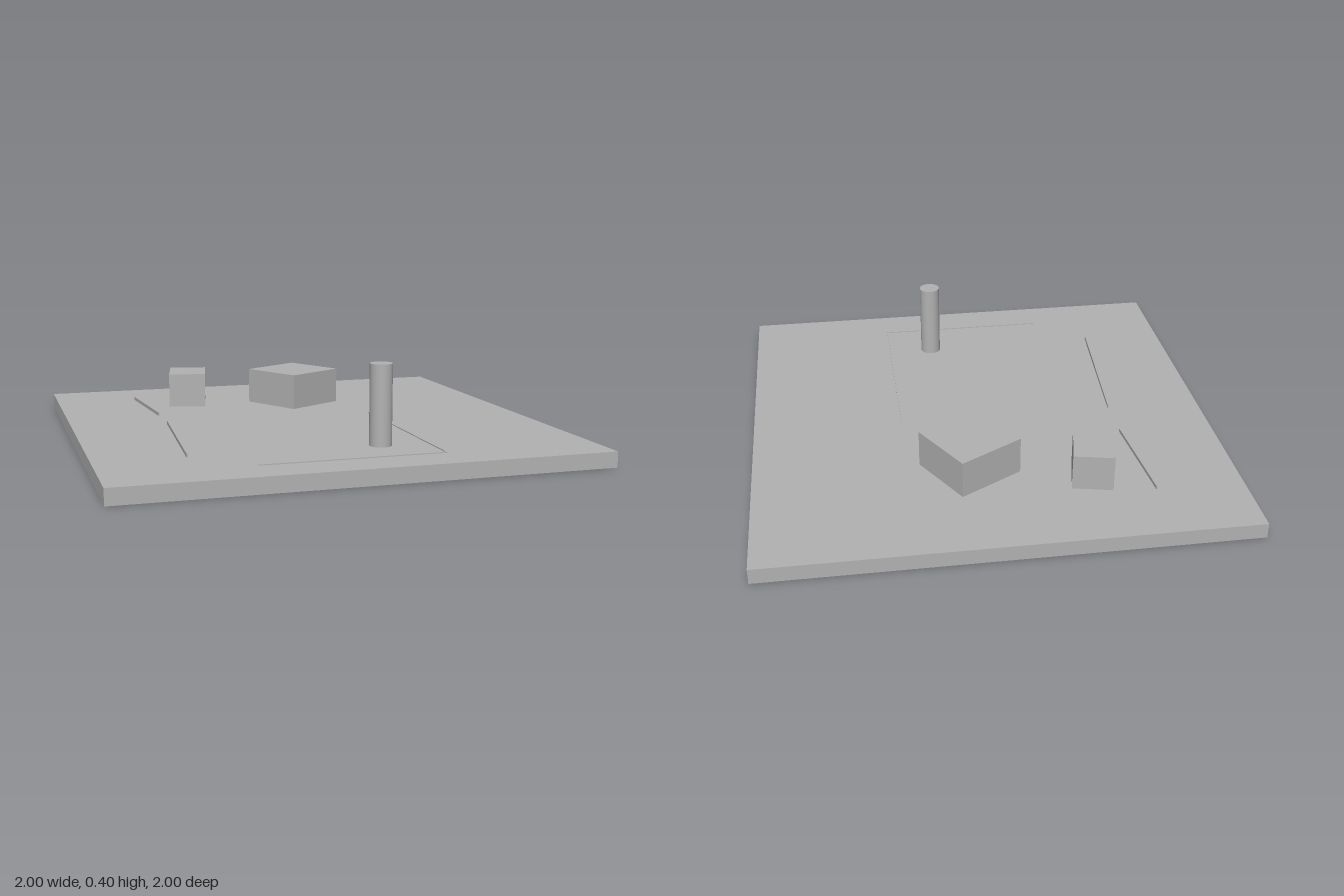
import * as THREE from 'three';

const TOP = 0.065; // upper face of the ground slab

export function createModel() {
  const model = new THREE.Group();
  const grey = new THREE.MeshStandardMaterial({ color: 0xb2b2b2 });
  grey.name = 'plain grey';

  function add(name, geometry, x, y, z, turn = 0) {
    const mesh = new THREE.Mesh(geometry, grey);
    mesh.name = name;
    mesh.position.set(x, y, z);
    mesh.rotation.y = turn;
    model.add(mesh);
  }

  // Block standing on the slab
  function block(name, w, h, d, x, z, degrees) {
    add(name, new THREE.BoxGeometry(w, h, d), x, TOP + h / 2, z, THREE.MathUtils.degToRad(degrees));
  }

  // Thin kerb running between two ground points
  function kerb(name, [x1, z1], [x2, z2], height, width) {
    const dx = x2 - x1, dz = z2 - z1;
    add(name, new THREE.BoxGeometry(Math.hypot(dx, dz), height, width),
      (x1 + x2) / 2, TOP + height / 2, (z1 + z2) / 2, Math.atan2(-dz, dx));
  }

  // Ground slab
  add('groundSlab', new THREE.BoxGeometry(2, TOP, 2), 0, TOP / 2, 0);

  // Two rotated buildings
  block('largeBuilding', 0.3, 0.16, 0.3, 0.1, -0.45, 30);
  block('smallBuilding', 0.169, 0.155, 0.225, -0.397, -0.565, -12);

  // Round tower
  const towerHeight = 0.333;
  add('tower', new THREE.CylinderGeometry(0.046, 0.046, towerHeight, 32), 0.15, TOP + towerHeight / 2, 0.625);

  // Slightly angled walls with a gap between them
  kerb('backWall', [-0.632, -0.71], [-0.591, -0.26], 0.015, 0.005);
  kerb('frontWall', [-0.588, -0.06], [-0.635, 0.62], 0.015, 0.005);

  // Very low L-shaped boundary
  kerb('frontBoundary', [-0.41, 0.828], [0.352, 0.828], 0.004, 0.004);
  kerb('sideBoundary', [0.35, 0.828], [0.35, -0.06], 0.004, 0.004);

  return model;
}
